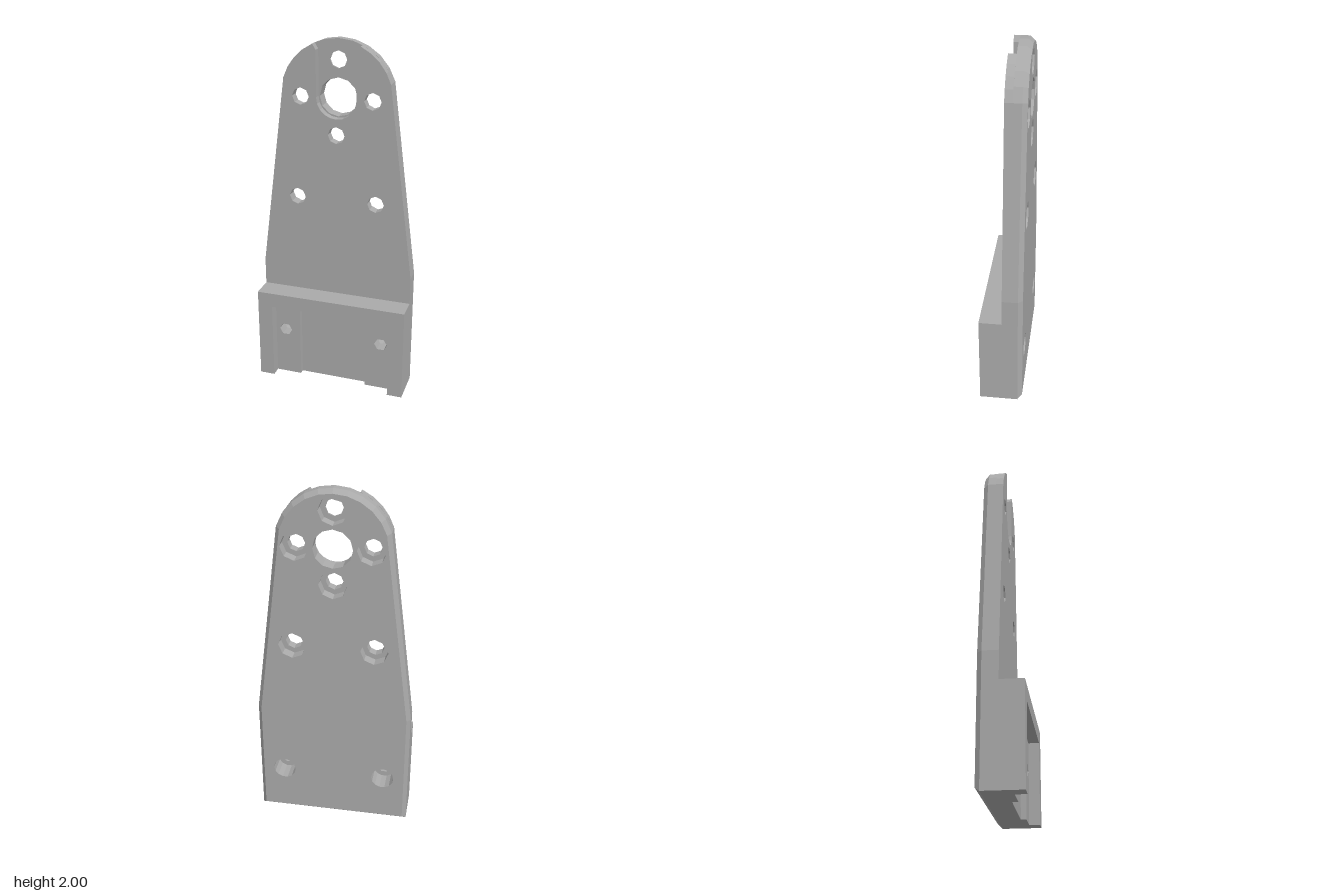
import * as THREE from 'three';

const P = (x, y) => new THREE.Vector2(x, y);
const mirror = (pts) => pts.map((p) => P(-p.x, p.y)).reverse();

// points on a circle, angles in degrees
function arc(cx, cy, r, from, to, n) {
  const pts = [];
  for (let i = 0; i <= n; i++) {
    const a = THREE.MathUtils.degToRad(from + ((to - from) * i) / n);
    pts.push(P(cx + r * Math.cos(a), cy + r * Math.sin(a)));
  }
  return pts;
}
const hole = (x, y, r, n) => arc(x, y, r, 0, 360, n).slice(0, -1);

// a slab between two depths, with holes
function slab(outline, holes, z0, z1) {
  const shape = new THREE.Shape(outline);
  shape.holes = holes.map((h) => new THREE.Path(h));
  const geo = new THREE.ExtrudeGeometry(shape, { depth: z1 - z0, bevelEnabled: false });
  return geo.translate(0, 0, z0);
}

// mitred inset of a counter-clockwise outline
function inset(pts, d) {
  return pts.map((p, i) => {
    const a = p.clone().sub(pts[(i + pts.length - 1) % pts.length]).normalize();
    const b = pts[(i + 1) % pts.length].clone().sub(p).normalize();
    const na = P(-a.y, a.x), nb = P(-b.y, b.x);
    return na.clone().add(nb).multiplyScalar(d / (1 + na.dot(nb))).add(p);
  });
}

export function createModel() {
  const group = new THREE.Group();
  const grey = new THREE.MeshStandardMaterial({ color: 0xaaaaaa, flatShading: true });
  grey.name = 'grey';
  const add = (name, geo) => {
    const mesh = new THREE.Mesh(geo, grey);
    mesh.name = name;
    group.add(mesh);
  };

  const W = 0.436, CY = 1.69, R = 0.31;
  const zBack = -0.12, zChamfer = -0.095, zBore = -0.06, zGroove = -0.05, zFace = -0.008;

  // hole layout
  const bolts = [[0, 1.89], [0.2, CY], [-0.2, CY], [0, 1.49], [0.225, 1.12], [-0.225, 1.12]];
  const feet = [[0.29, 0.29], [-0.29, 0.29]];
  const boltHoles = bolts.map(([x, y]) => hole(x, y, 0.047, 8));
  const counterbores = bolts.map(([x, y]) => hole(x, y, 0.076, 8));
  const footBores = feet.map(([x, y]) => hole(x, y, 0.065, 14));
  const footHoles = feet.map(([x, y]) => hole(x, y, 0.038, 6));
  const centreHole = hole(0, CY, 0.105, 12);

  // tapered plate with a round head
  const outline = [P(-W, 0), P(W, 0), P(W, 0.7), ...arc(0, CY, R, 18, 162, 10), P(-W, 0.7)];
  const backHoles = [...counterbores, ...footBores, centreHole];

  // back layer: rim vertices on the rear face are pulled in for the chamfer
  const chamfer = slab(outline, backHoles, zBack, zChamfer);
  const inner = inset(outline, 0.022);
  const pos = chamfer.attributes.position;
  for (let i = 0; i < pos.count; i++) {
    if (pos.getZ(i) > zBack + 0.001) continue;
    const k = outline.findIndex((p) => Math.hypot(p.x - pos.getX(i), p.y - pos.getY(i)) < 1e-4);
    if (k >= 0) pos.setXY(i, inner[k].x, inner[k].y);
  }
  chamfer.computeVertexNormals();
  add('plateBackChamfer', chamfer);
  add('plateCounterboreLayer', slab(outline, backHoles, zChamfer, zBore));
  add('plateCore', slab(outline, [...boltHoles, ...footBores, centreHole], zBore, zGroove));

  // front layer with the flared groove running out of the head
  const rightSide = [P(W, 0), P(W, 0.7), ...arc(0, CY, R, 18, 65, 4), P(0.112, 1.94)];
  const groove = arc(0, CY, 0.112, 0, -180, 10);
  add('plateFront', slab([...rightSide, ...groove, ...mirror(rightSide)],
    [...boltHoles.slice(1), ...footBores], zGroove, zFace));

  // foot block: solid web, then two stepped pockets open at the bottom
  const H = 0.545, pocketTop = 0.46;
  const frame = (w) => {
    const half = [P(w, pocketTop), P(w, 0), P(W, 0), P(W, H)];
    return [...half, ...mirror(half)];
  };
  add('footWeb', slab([P(-W, 0), P(W, 0), P(W, H), P(-W, H)], footHoles, zFace, 0.03));
  add('footLedges', slab(frame(0.2), footHoles, 0.03, 0.06));
  add('footRim', slab(frame(0.35), [], 0.06, 0.12));

  return group;
}
